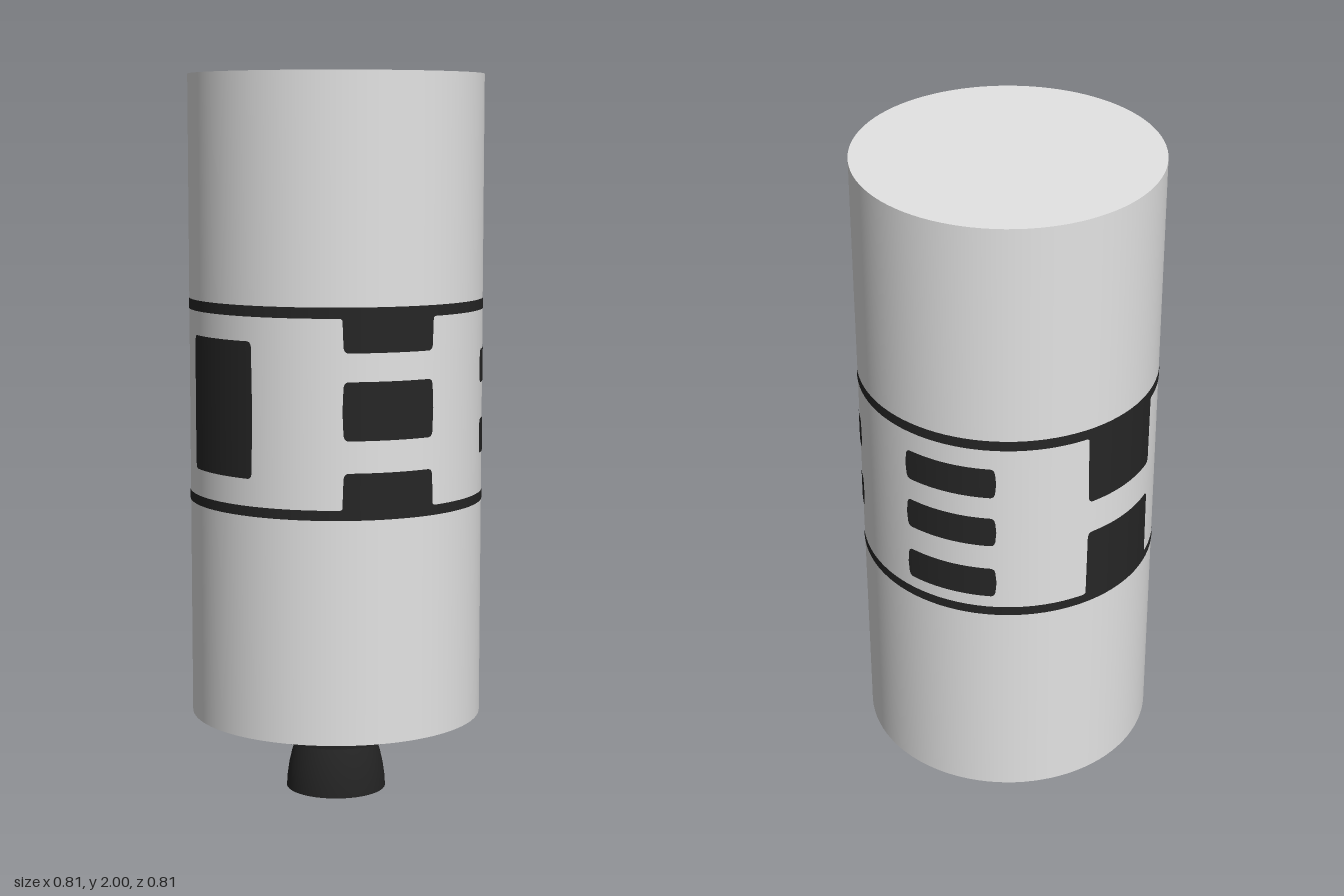
import * as THREE from 'three';

const R = 0.405, SKIN = R + 0.0015;
const RAD = Math.PI / 180;

// Painted panel wrapped round the hull: a0..a1 in degrees from +z towards +x.
// Corners are rounded by `low` / `high`; a negative value flares into a band.
function wrappedPanel(a0, a1, y0, y1, low = 0.014, high = 0.014) {
  const t0 = a0 * RAD * R, t1 = a1 * RAD * R;
  const us = [];
  const f = 0.014, n = 5;
  for (let i = 0; i < n; i++) us.push(t0 - f + (f * i) / n);
  for (let i = 0; i < n; i++) us.push(t0 + (f * i) / n);
  for (let i = 0; i <= 16; i++) us.push(t0 + f + ((t1 - t0 - 2 * f) * i) / 16);
  for (let i = 1; i <= n; i++) us.push(t1 - f + (f * i) / n);
  for (let i = 1; i <= n; i++) us.push(t1 + (f * i) / n);
  const arc = (d, r) => r - Math.sqrt(Math.max(0, r * r - (r - d) ** 2));
  const pos = [], nor = [], idx = [];
  for (const u of us) {
    const d = Math.min(u - t0, t1 - u); // distance inside the side edge
    let b = y0, t = y1;
    if (d < -1e-6) {
      // outside the edge only the flares exist, drawn as separate strips
      b = low < 0 ? y0 : y1;
      t = high < 0 ? y1 : y0;
      if (low < 0) t = y0 + arc(-d, f);
      else if (high < 0) b = y1 - arc(-d, f);
      else b = t = (y0 + y1) / 2;
      if (low < 0) t = y0 + f - Math.sqrt(Math.max(0, f * f - (f + d) ** 2));
      else if (high < 0) b = y1 - f + Math.sqrt(Math.max(0, f * f - (f + d) ** 2));
    } else {
      if (low > 0 && d < low) b += arc(d, low);
      if (high > 0 && d < high) t -= arc(d, high);
    }
    const s = Math.sin(u / R), c = Math.cos(u / R);
    pos.push(SKIN * s, b, SKIN * c, SKIN * s, t, SKIN * c);
    nor.push(s, 0, c, s, 0, c);
  }
  for (let i = 0; i < us.length - 1; i++) {
    // skip the jump between a flare and the panel side
    const k = i * 2;
    idx.push(k, k + 2, k + 1, k + 1, k + 2, k + 3);
  }
  const g = new THREE.BufferGeometry();
  g.setAttribute('position', new THREE.Float32BufferAttribute(pos, 3));
  g.setAttribute('normal', new THREE.Float32BufferAttribute(nor, 3));
  g.setIndex(idx);
  return g;
}

export function createModel() {
  const model = new THREE.Group();
  const hullPaint = new THREE.MeshStandardMaterial({ color: 0xe4e4e4 });
  hullPaint.name = 'light grey hull';
  const blackPaint = new THREE.MeshStandardMaterial({ color: 0x262626 });
  blackPaint.name = 'black paint';
  const engineMetal = new THREE.MeshStandardMaterial({ color: 0x242424, side: THREE.DoubleSide });
  engineMetal.name = 'dark engine metal';

  const add = (name, geometry, material, y = 0) => {
    const mesh = new THREE.Mesh(geometry, material);
    mesh.name = name;
    mesh.position.y = y;
    model.add(mesh);
    return mesh;
  };

  // Main cylindrical hull
  add('hull', new THREE.CylinderGeometry(R, R, 1.772, 96), hullPaint, 1.114);

  // Thin painted rings above and below the panel belt
  for (const [name, y0, y1] of [['upperBand', 1.365, 1.394], ['lowerBand', 0.835, 0.862]]) {
    add(name, new THREE.CylinderGeometry(SKIN, SKIN, y1 - y0, 96, 1, true), blackPaint, (y0 + y1) / 2);
  }

  // Five columns of panels, 72 degrees apart: [bottom, top, low corner, high corner]
  const r = 0.014, top = 1.366, bottom = 0.861;
  const columns = [
    [[0.935, 1.3, r, r]],
    [[1.275, top, r, -r], [1.045, 1.2, r, r], [bottom, 0.96, -r, r]],
    [[1.165, 1.257, r, r], [0.97, 1.065, r, r]],
    [[1.217, 1.307, r, r], [1.063, 1.152, r, r], [0.897, 0.989, r, r]],
    [[1.163, top, r, -r], [bottom, 1.065, -r, r]],
  ];
  columns.forEach((panels, i) => {
    const a = -27 + i * 72;
    panels.forEach(([y0, y1, low, high], j) =>
      add(`panel${i + 1}_${j + 1}`, wrappedPanel(a, a + 36, y0, y1, low, high), blackPaint));
  });

  // Engine mount and open bell nozzle
  add('engineMount', new THREE.CylinderGeometry(0.177, 0.177, 0.077, 64), engineMetal, 0.1905);
  const bell = [[0.14, 0], [0.138, 0.03], [0.133, 0.065], [0.125, 0.1], [0.115, 0.13], [0.105, 0.155]];
  add('engineNozzle', new THREE.LatheGeometry(bell.map(([x, y]) => new THREE.Vector2(x, y)), 64), engineMetal);

  return model;
}
